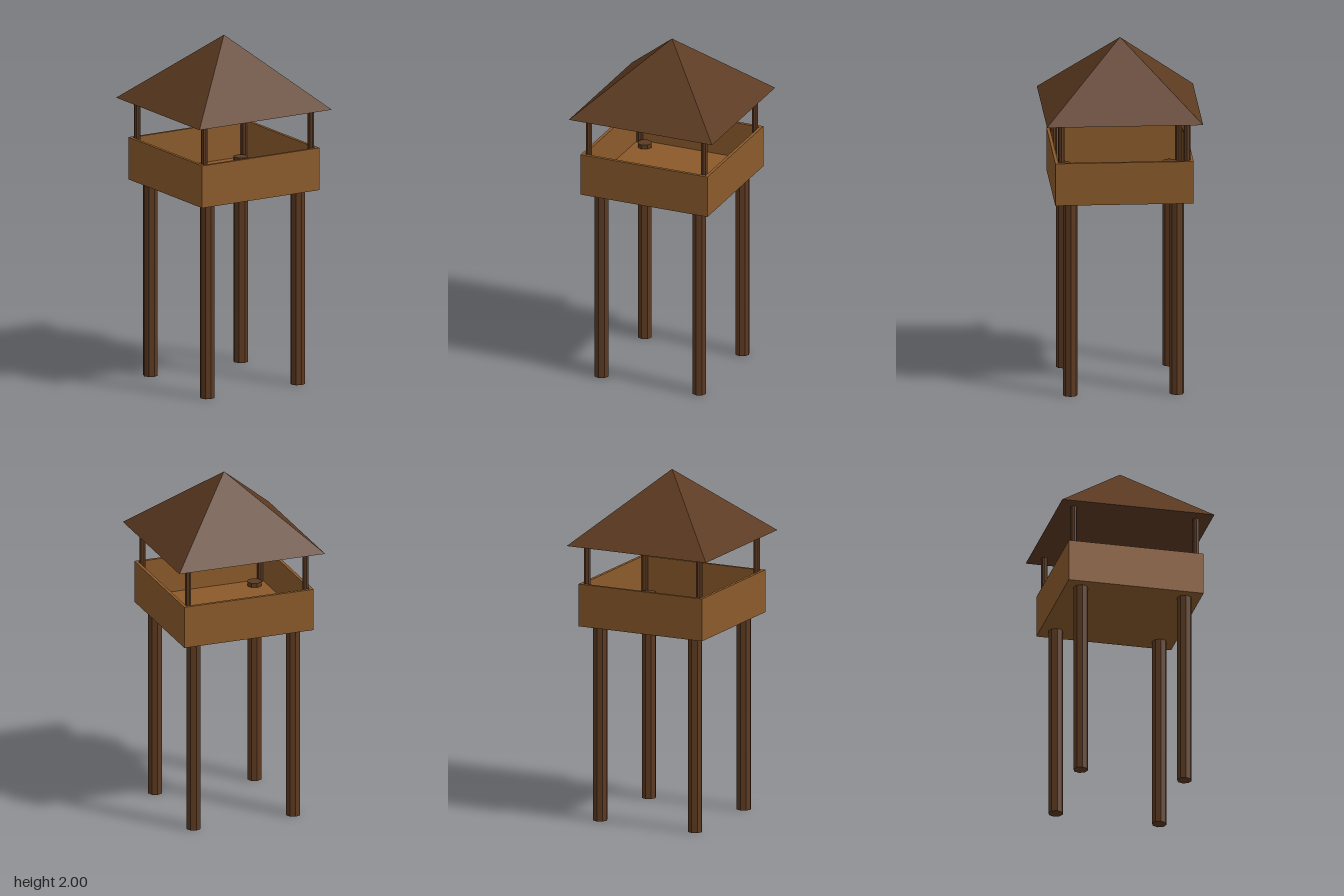
import * as THREE from 'three';

export function createModel() {
  const model = new THREE.Group();
  const darkWood = new THREE.MeshStandardMaterial({ color: 0x5c3a21 });
  const lightWood = new THREE.MeshStandardMaterial({ color: 0x8b5a2b });
  darkWood.name = 'dark wood';
  lightWood.name = 'light wood';
  darkWood.flatShading = true;

  const add = (name, geometry, material, x, y, z) => {
    const mesh = new THREE.Mesh(geometry, material);
    mesh.name = name;
    mesh.position.set(x, y, z);
    model.add(mesh);
    return mesh;
  };

  // Platform floor
  const half = 0.39, wall = 0.018, floorBottom = 1.13, floorTop = 1.165, rim = 1.375;
  add('platformFloor', new THREE.BoxGeometry(half * 2, floorTop - floorBottom, half * 2),
    lightWood, 0, (floorBottom + floorTop) / 2, 0);

  // Parapet walls: full width front and back, shorter sides between them
  const wallHeight = rim - floorTop, wallY = (rim + floorTop) / 2;
  const longWall = new THREE.BoxGeometry(half * 2, wallHeight, wall);
  const sideWall = new THREE.BoxGeometry(wall, wallHeight, (half - wall) * 2);
  for (const s of [-1, 1]) {
    add(s > 0 ? 'frontWall' : 'backWall', longWall, lightWood, 0, wallY, s * (half - wall / 2));
    add(s > 0 ? 'leftWall' : 'rightWall', sideWall, lightWood, s * (half - wall / 2), wallY, 0);
  }

  // Legs, standing slightly proud of the floor, and slim roof posts in the corners
  const legHeight = 1.19, postHeight = 1.6 - floorTop;
  const leg = new THREE.CylinderGeometry(0.042, 0.042, legHeight, 8);
  const post = new THREE.CylinderGeometry(0.019, 0.019, postHeight, 8);
  for (const sx of [-1, 1]) for (const sz of [-1, 1]) {
    const corner = (sz > 0 ? 'front' : 'back') + (sx > 0 ? 'Left' : 'Right');
    add(corner + 'Leg', leg, darkWood, sx * 0.3, legHeight / 2, sz * 0.3);
    add(corner + 'Post', post, darkWood, sx * 0.354, floorTop + postHeight / 2, sz * 0.354);
  }

  // Pyramid roof with a closed underside
  const roof = new THREE.ConeGeometry(0.44 * Math.SQRT2, 0.4, 4).rotateY(Math.PI / 4);
  add('roof', roof, darkWood, 0, 1.8, 0);

  return model;
}
